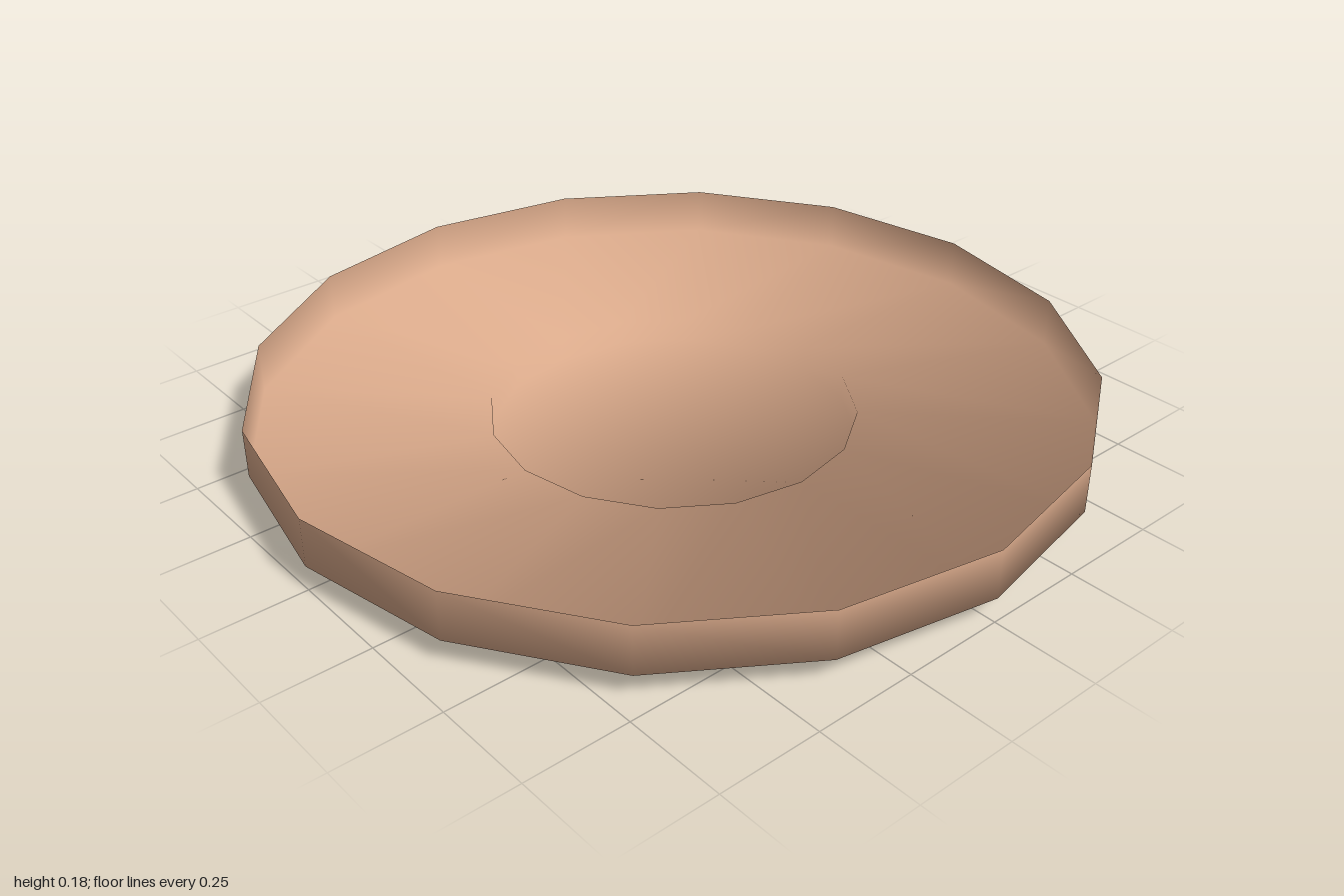
import * as THREE from 'three';

const SIDES = 16;

// Each ring of the shell: radius, height, outward and upward part of its smooth normal
const rings = [
  [0.44, 0, 0.75, -0.67], // floor edge
  [0.44, 0.06, 0.66, -0.75], // top of the foot wall
  [1, 0.06, 0.75, -0.67], // outer edge of the tray
  [1, 0.18, 1, 0], // lip
];

function createShellGeometry() {
  const geometry = new THREE.LatheGeometry(
    rings.map(([r, y]) => new THREE.Vector2(r, y)),
    SIDES
  );

  // Round the shading over the folds, all the way around
  const { position, normal } = geometry.attributes;
  for (let i = 0; i < position.count; i++) {
    const [r, , out, up] = rings[i % rings.length];
    normal.setXYZ(i, (position.getX(i) / r) * out, up, (position.getZ(i) / r) * out);
  }

  // Close the floor with a fan between the lowest ring's corners
  const index = Array.from(geometry.index.array);
  for (let i = 1; i < SIDES - 1; i++) {
    index.push(0, (i + 1) * rings.length, i * rings.length);
  }
  geometry.setIndex(index);
  return geometry;
}

export function createModel() {
  const model = new THREE.Group();
  model.name = 'plate';

  // Thin shell: sunken floor, foot wall, flat tray and upright rim
  const shell = new THREE.Mesh(
    createShellGeometry(),
    new THREE.MeshStandardMaterial({ color: 0xd9a98a, side: THREE.DoubleSide })
  );
  shell.name = 'plateShell';
  model.add(shell);

  return model;
}
